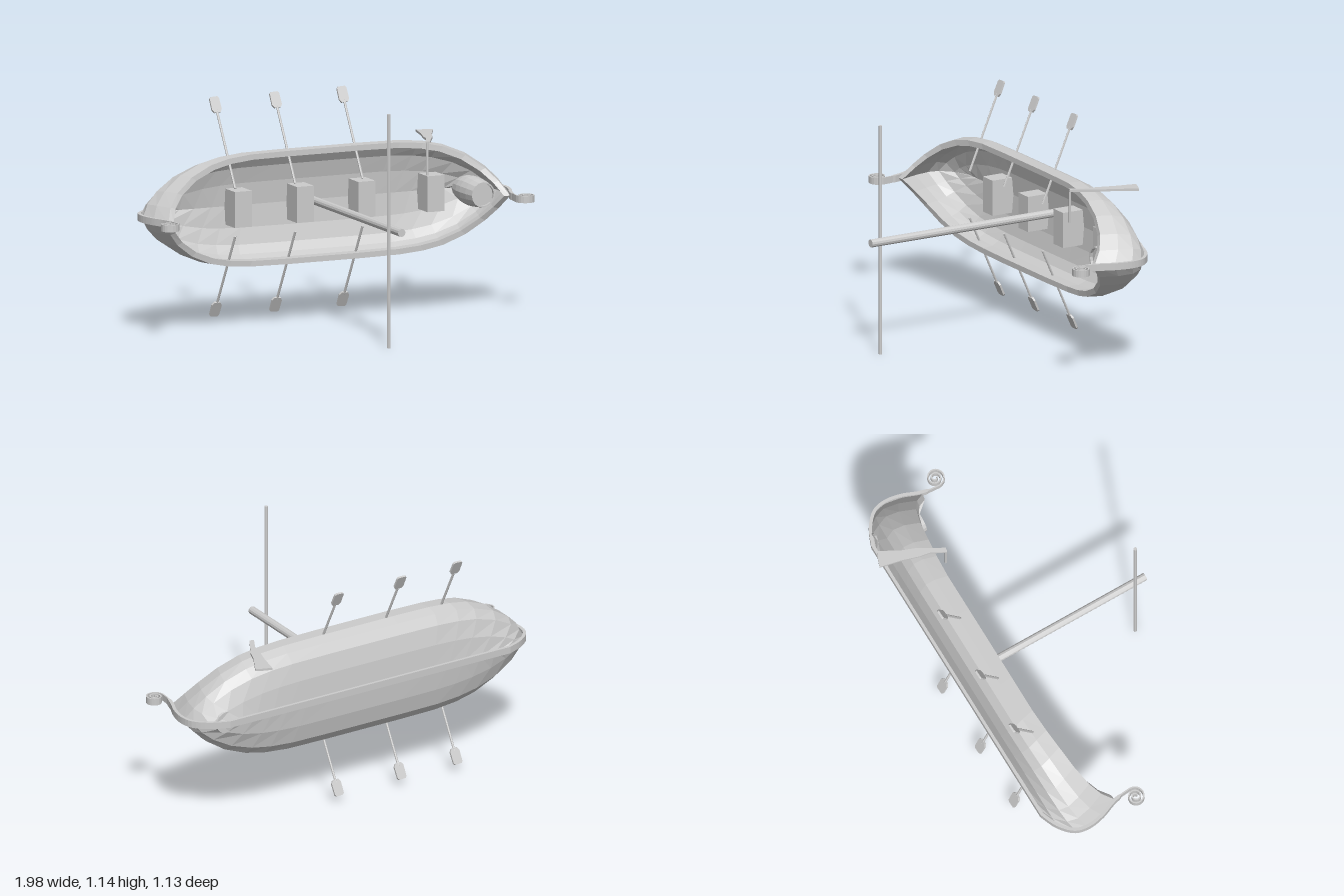
import * as THREE from 'three';

const MID = 0.573; // height of the boat's centre plane
const mat = new THREE.MeshStandardMaterial({ color: 0xcccccc, flatShading: true, side: THREE.DoubleSide });
const V = (x, y, z) => new THREE.Vector3(x, y, z);

function add(parent, name, geometry) {
  const m = new THREE.Mesh(geometry, mat);
  m.name = name;
  parent.add(m);
  return m;
}

// cylinder between two points
function rod(parent, name, a, b, r, sides = 8) {
  const d = b.clone().sub(a);
  const m = add(parent, name, new THREE.CylinderGeometry(r, r, d.length(), sides));
  m.position.copy(a).addScaledVector(d, 0.5);
  m.quaternion.setFromUnitVectors(V(0, 1, 0), d.normalize());
  return m;
}

// flat outline in x/z, given thickness along y
function plate(points, y0, depth) {
  const shape = new THREE.Shape(points.map(([x, z]) => new THREE.Vector2(x, -z)));
  return new THREE.ExtrudeGeometry(shape, { depth, bevelEnabled: false }).rotateX(-Math.PI / 2).translate(0, y0, 0);
}

// rows from keel to rim: [half width, z amidships, x at stem, z at stem]
const OUTER = [
  [0, -0.484, 0.80, -0.486], [0.12, -0.473, 0.885, -0.45], [0.21, -0.45, 0.945, -0.39],
  [0.255, -0.415, 0.96, -0.33], [0.277, -0.37, 0.945, -0.24], [0.277, -0.305, 0.91, -0.145],
];
const INNER = [
  [0, -0.466, 0.78, -0.466], [0.11, -0.456, 0.86, -0.43], [0.19, -0.434, 0.915, -0.375],
  [0.232, -0.405, 0.925, -0.32], [0.25, -0.365, 0.91, -0.24], [0.25, -0.305, 0.88, -0.15],
];
// stations: [fraction of length, width factor, sheer factor]
const HALF = [
  [0, 1, 0], [0.22, 1, 0], [0.44, 0.99, 0], [0.57, 0.95, 0.05], [0.68, 0.87, 0.13],
  [0.8, 0.7, 0.25], [0.9, 0.46, 0.44], [0.96, 0.24, 0.67], [1, 0, 1],
];

function hullGeometry() {
  const stations = [...HALF.slice(1).reverse().map(([t, w, s]) => [-t, w, s]), ...HALF];
  const side = (rows, k) => rows.map(r => [r, k]);
  // closed loop: outside from rim to rim, then back along the inside
  const loop = [
    ...side(OUTER, -1).reverse(), ...side(OUTER, 1).slice(1),
    ...side(INNER, 1).reverse(), ...side(INNER, -1).slice(1),
  ];
  const pos = [], idx = [], n = loop.length;
  for (const [t, w, s] of stations)
    for (const [[h, z, xe, ze], k] of loop) pos.push(xe * t, MID + k * h * w, z + (ze - z) * s);
  for (let i = 0; i < stations.length - 1; i++)
    for (let j = 0; j < n; j++) {
      const a = i * n + j, b = i * n + (j + 1) % n;
      idx.push(a, a + n, b, b, a + n, b + n);
    }
  const g = new THREE.BufferGeometry();
  g.setAttribute('position', new THREE.Float32BufferAttribute(pos, 3));
  g.setIndex(idx);
  g.computeVertexNormals();
  return g;
}

// keel strip that runs up the stems and ends in scrolls
function keelGeometry() {
  const stem = new THREE.CatmullRomCurve3([
    [0.8, -0.489], [0.885, -0.452], [0.95, -0.39], [0.965, -0.32], [0.95, -0.235],
    [0.922, -0.165], [0.908, -0.11], [0.903, -0.055],
  ].map(([x, z]) => V(x, 0, z))).getPoints(28).map(p => [p.x, p.z]);
  const path = [[0, -0.489], [0.4, -0.489], ...stem];
  const N = 44;
  for (let i = 1; i <= N; i++) {
    const a = Math.PI - (i / N) * Math.PI * 4.4, r = 0.046 - 0.037 * i / N;
    path.push([0.949 + r * Math.cos(a), -0.052 + r * Math.sin(a)]);
  }
  const full = [...path.slice(1).reverse().map(([x, z]) => [-x, z]), ...path];
  const left = [], right = [];
  full.forEach(([x, z], i) => {
    const p = full[Math.max(i - 1, 0)], q = full[Math.min(i + 1, full.length - 1)];
    const dx = q[0] - p[0], dz = q[1] - p[1], l = Math.hypot(dx, dz);
    const w = z > -0.12 ? 0.0035 : 0.008;
    left.push([x - dz / l * w, z + dx / l * w]);
    right.push([x + dz / l * w, z - dx / l * w]);
  });
  return plate([...left, ...right.reverse()], MID - 0.017, 0.034);
}

// rowing oar through the hull side; k = 1 upper side, -1 lower side
function oar(x, k) {
  const g = new THREE.Group();
  g.name = 'oar';
  const a = V(x + 0.012, MID + k * 0.117, -0.29), b = V(x - 0.011, MID + k * 0.535, -0.485);
  rod(g, 'oarShaft', a, a.clone().lerp(b, 0.86), 0.006, 6);
  const s = new THREE.Shape([[-0.016, 0], [0.016, 0], [0.026, 0.015], [0.025, 0.072], [0.018, 0.08],
    [-0.018, 0.08], [-0.025, 0.072], [-0.026, 0.015]].map(p => new THREE.Vector2(...p)));
  const blade = add(g, 'oarBlade',
    new THREE.ExtrudeGeometry(s, { depth: 0.01, bevelEnabled: false }).translate(0, 0, -0.005));
  blade.position.copy(a).lerp(b, 0.83);
  // swing the blade in line with the shaft, keeping its width along x
  const d = b.clone().sub(a).normalize();
  const xAxis = V(1, 0, 0).addScaledVector(d, -d.x).normalize();
  blade.quaternion.setFromRotationMatrix(new THREE.Matrix4().makeBasis(xAxis, d, xAxis.clone().cross(d)));
  return g;
}

export function createModel() {
  const boat = new THREE.Group();
  boat.name = 'rowingShip';
  add(boat, 'hull', hullGeometry());
  add(boat, 'keelAndScrolls', keelGeometry());

  // mast and yard
  rod(boat, 'mast', V(0, MID, -0.47), V(0, MID, 0.563), 0.02, 12);
  rod(boat, 'yard', V(-0.033, 0, 0.488), V(-0.033, 1.145, 0.488), 0.009, 8);

  // box seats
  for (const x of [-0.415, -0.085, 0.242, 0.61])
    add(boat, 'seat', new THREE.BoxGeometry(0.09, 0.176, 0.12)).position.set(x, MID, -0.408);

  // oars on both sides
  for (const x of [-0.498, -0.178, 0.18]) for (const k of [1, -1]) boat.add(oar(x, k));

  // barrel with a raised lip
  const profile = [[0, -0.465], [0.055, -0.465], [0.07, -0.39], [0.073, -0.34], [0.07, -0.28],
    [0.062, -0.22], [0.055, -0.22], [0.055, -0.235], [0, -0.235]].map(p => new THREE.Vector2(...p));
  const barrel = add(boat, 'barrel', new THREE.LatheGeometry(profile, 16).rotateX(Math.PI / 2));
  barrel.position.set(0.803, MID, 0);

  // steering oar and its tiller
  add(boat, 'steeringOar', plate([[0.506, -0.247], [0.528, -0.24], [0.565, -0.305], [0.6, -0.365],
    [0.625, -0.43], [0.682, -0.535], [0.65, -0.55], [0.605, -0.566], [0.582, -0.46], [0.555, -0.375],
    [0.545, -0.32]], 0.842, 0.011));
  rod(boat, 'tiller', V(0.517, 0.685, -0.247), V(0.517, 0.848, -0.247), 0.006, 8);
  return boat;
}
